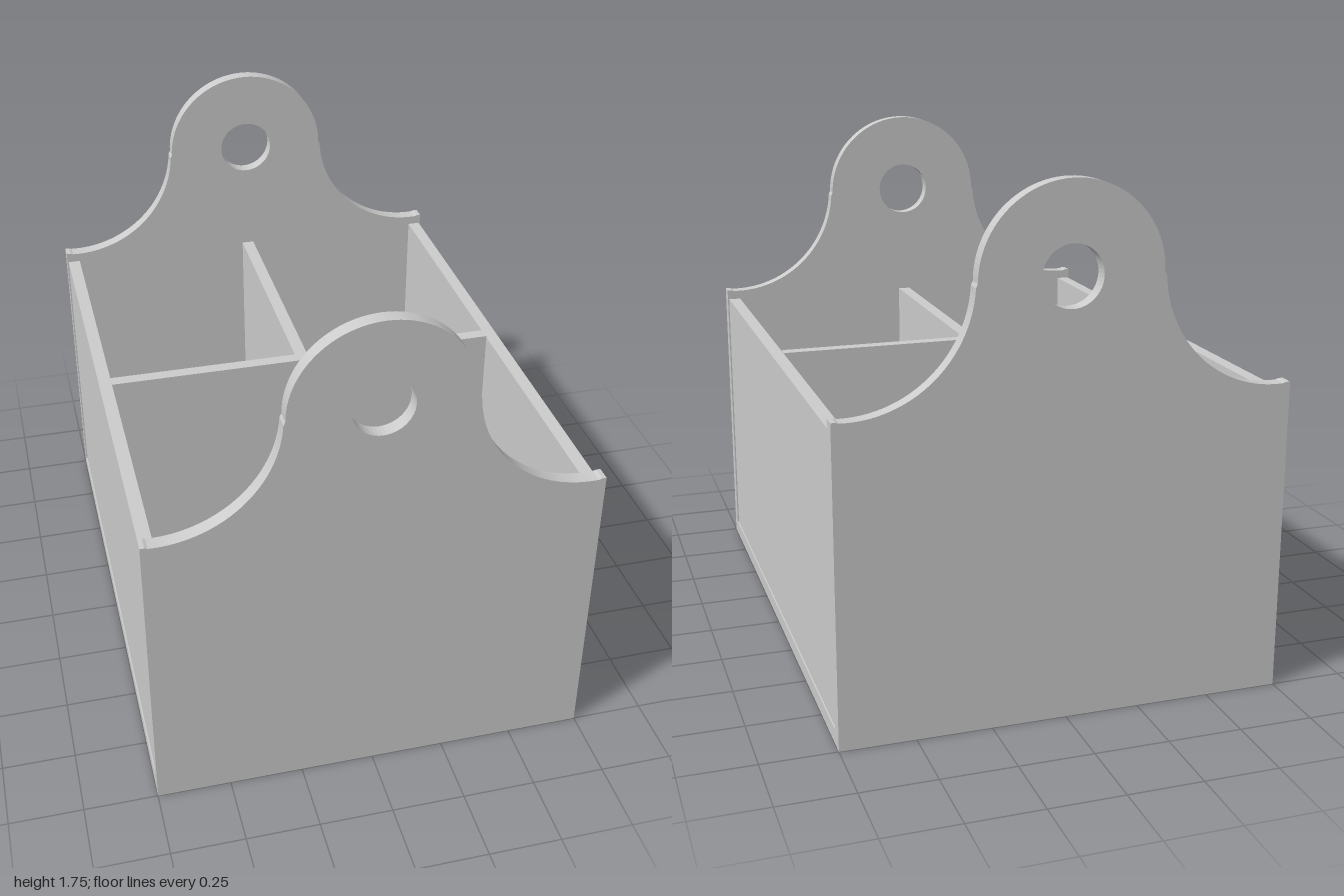
import * as THREE from 'three';

const material = new THREE.MeshStandardMaterial({ color: 0xcccccc, flatShading: true });

export function createModel() {
  const group = new THREE.Group();
  const W = 0.75, L = 1, T = 0.05;

  const add = (name, geometry, x, y, z) => {
    const mesh = new THREE.Mesh(geometry, material);
    mesh.name = name;
    mesh.position.set(x, y, z);
    group.add(mesh);
  };
  // board standing on height y0
  const board = (name, w, h, d, x, y0, z) =>
    add(name, new THREE.BoxGeometry(w, h, d), x, y0 + h / 2, z);

  // floor, side walls and crossed dividers
  const inner = 2 * (L - T);
  board('base', 2 * W, T, inner, 0, 0, 0);
  for (const [side, name] of [[1, 'leftWall'], [-1, 'rightWall']])
    board(name, 0.045, 1.025 - T, inner, side * 0.7225, T, 0);
  board('longDivider', 0.045, 1.025 - T, inner, 0, T, 0);
  board('crossDivider', 1.4, 1.03 - T, 0.045, 0, T, 0);

  // end panel: concave shoulders rising to a round handle lug with a hole
  const R = 0.4, cx = 0.705, cy = 1.458;
  const shape = new THREE.Shape();
  shape.moveTo(-W, 0);
  shape.lineTo(W, 0);
  shape.lineTo(W, 1.062);
  shape.lineTo(0.735, 1.062);
  shape.absarc(cx, cy, R, -Math.PI / 2 + 0.05, -Math.PI + 0.06, true);
  shape.absarc(0, 1.445, 0.3, 0, Math.PI, false);
  shape.absarc(-cx, cy, R, -0.06, -Math.PI / 2 - 0.05, true);
  shape.lineTo(-0.735, 1.062);
  shape.lineTo(-W, 1.062);
  shape.closePath();
  const hole = new THREE.Path();
  hole.absarc(0, 1.45, 0.1, 0, Math.PI * 2, true);
  shape.holes.push(hole);
  const panel = new THREE.ExtrudeGeometry(shape, { depth: T, bevelEnabled: false, curveSegments: 24 });
  add('frontPanel', panel, 0, 0, L - T);
  add('backPanel', panel, 0, 0, -L);

  return group;
}
